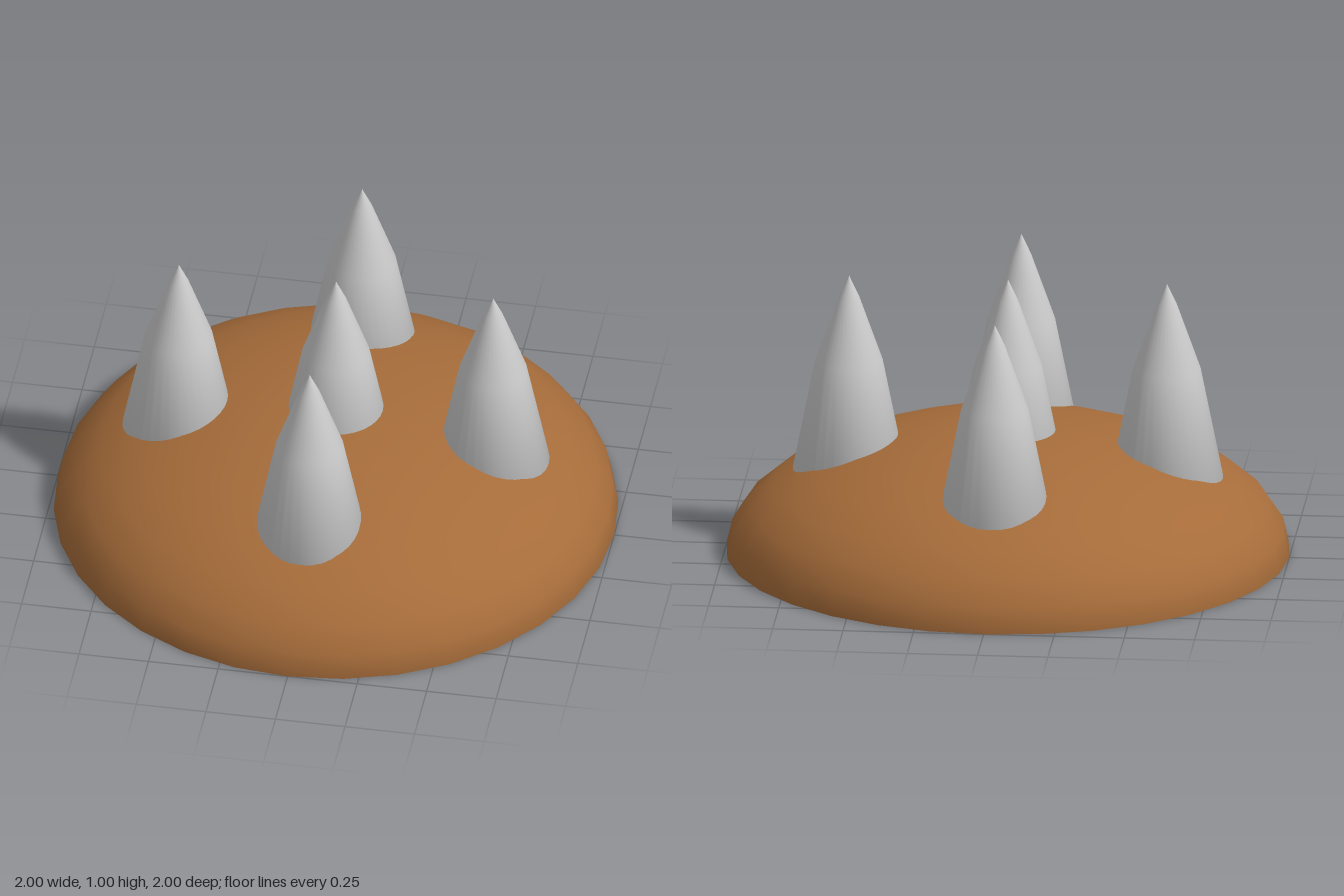
import * as THREE from 'three';

export function createModel() {
  const group = new THREE.Group();
  const brown = new THREE.MeshStandardMaterial({ color: 0xa66c3a, side: THREE.DoubleSide });
  const grey = new THREE.MeshStandardMaterial({ color: 0xcccccc });

  // Flattened half-sphere shell, open underneath
  const domeGeometry = new THREE.SphereGeometry(1, 32, 8, 0, Math.PI * 2, 0, Math.PI / 2);
  domeGeometry.scale(1, 0.455, 1);
  const dome = new THREE.Mesh(domeGeometry, brown);
  dome.name = 'dome';
  group.add(dome);

  // Spike: closed flat base, tapering in three steps to a blunt-shouldered point
  const profile = [[0, 0.24], [0.21, 0.24], [0.12, 0.69], [0.035, 0.93], [0, 1.005]]
    .map(([r, y]) => new THREE.Vector2(r, y));
  const spikeGeometry = new THREE.LatheGeometry(profile, 32);

  // One spike in the middle and four around it
  const spots = {
    centreSpike: [0, 0],
    leftSpike: [0.565, 0],
    rightSpike: [-0.565, 0],
    frontSpike: [0, 0.545],
    backSpike: [0, -0.54],
  };
  for (const [name, [x, z]] of Object.entries(spots)) {
    const spike = new THREE.Mesh(spikeGeometry, grey);
    spike.name = name;
    spike.position.set(x, 0, z);
    group.add(spike);
  }

  return group;
}
